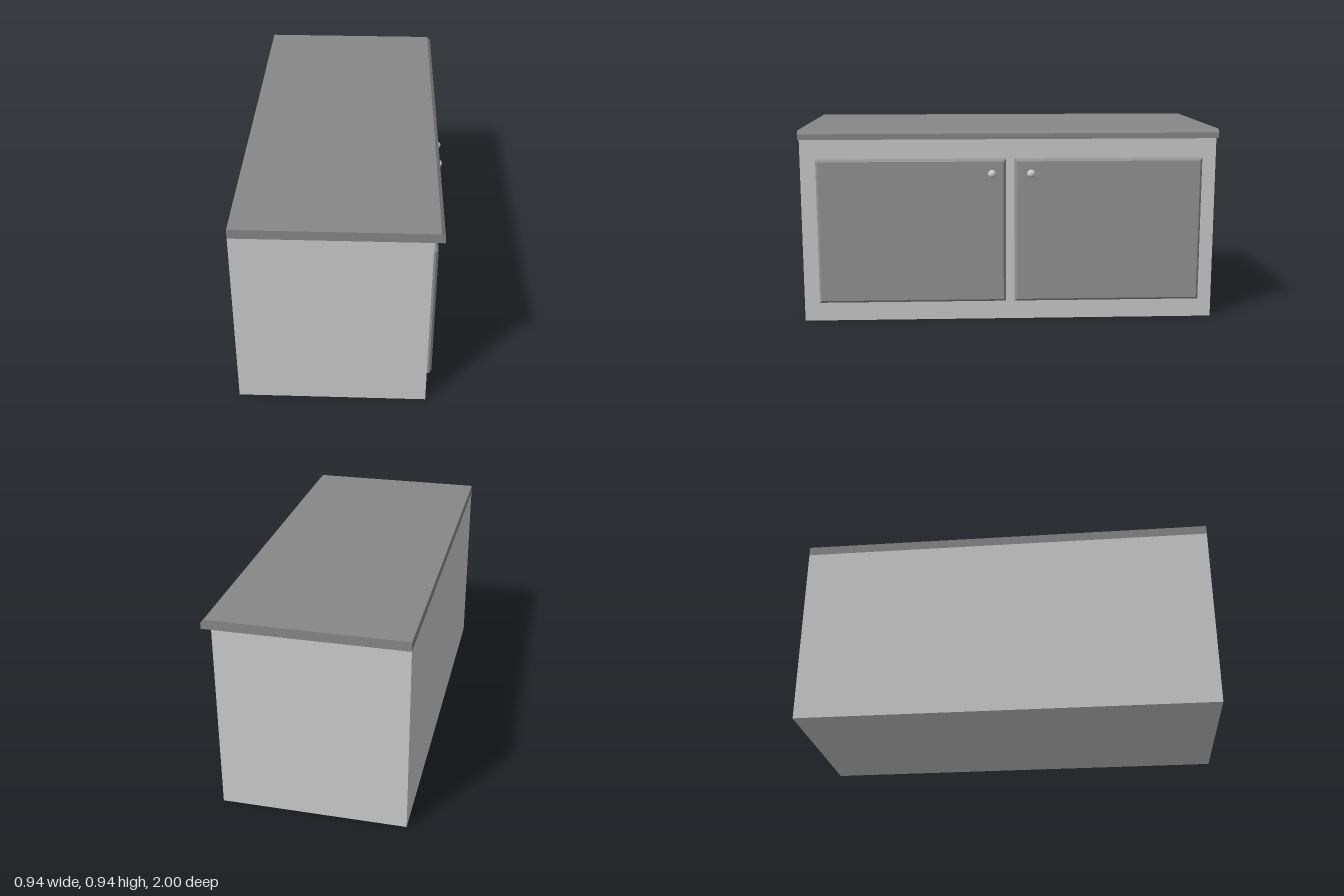
import * as THREE from 'three';

const paint = (color) => new THREE.MeshStandardMaterial({ color });

function part(name, geometry, material, x = 0, y = 0, z = 0) {
  const mesh = new THREE.Mesh(geometry, material);
  mesh.name = name;
  mesh.position.set(x, y, z);
  return mesh;
}

// Slab facing +x: square-edged at the back, with all four front edges chamfered.
function chamferedPanel(depth, height, width, chamferDepth, inset) {
  const geometry = new THREE.BoxGeometry(depth, height, width, 2, 1, 1);
  const p = geometry.attributes.position;
  for (let i = 0; i < p.count; i++) {
    const x = p.getX(i);
    if (Math.abs(x) < 1e-6) p.setX(i, depth / 2 - chamferDepth);
    else if (x > 0) {
      p.setY(i, p.getY(i) - Math.sign(p.getY(i)) * inset);
      p.setZ(i, p.getZ(i) - Math.sign(p.getZ(i)) * inset);
    }
  }
  const flat = geometry.toNonIndexed();
  flat.computeVertexNormals();
  return flat;
}

export function createModel() {
  const model = new THREE.Group();
  model.name = 'cabinet';

  const bodyPaint = paint(0xcccccc);
  const topPaint = paint(0x878787);
  const doorPaint = paint(0x949494);

  const back = -0.473, face = 0.392, underside = 0.893;

  // Carcass
  model.add(part('body', new THREE.BoxGeometry(face - back, underside, 2), bodyPaint,
    (back + face) / 2, underside / 2, 0));

  // Worktop with a chamfered overhanging edge, extruded along z
  const profile = new THREE.Shape([
    [back, underside], [0.439, underside], [0.439, 0.92], [0.422, 0.937], [back, 0.937],
  ].map(([x, y]) => new THREE.Vector2(x, y)));
  const topGeometry = new THREE.ExtrudeGeometry(profile, { depth: 2, bevelEnabled: false });
  model.add(part('worktop', topGeometry, topPaint, 0, 0, -1));

  // Two doors, each with a round knob near its inner top corner
  const doorDepth = 0.027, bottom = 0.094, top = 0.795;
  const doors = [
    { side: 'left', z0: -0.931, z1: -0.025, knobZ: -0.101 },
    { side: 'right', z0: 0.018, z1: 0.924, knobZ: 0.085 },
  ];
  const stemGeometry = new THREE.CylinderGeometry(0.005, 0.005, 0.03, 16).rotateZ(-Math.PI / 2);
  const ballGeometry = new THREE.SphereGeometry(0.02, 24, 16);
  for (const { side, z0, z1, knobZ } of doors) {
    const door = new THREE.Group();
    door.name = `${side}Door`;
    door.add(part('doorPanel', chamferedPanel(doorDepth, top - bottom, z1 - z0, 0.011, 0.011),
      doorPaint, face + doorDepth / 2, (top + bottom) / 2, (z0 + z1) / 2));
    door.add(part('knobStem', stemGeometry, bodyPaint, 0.431, 0.728, knobZ));
    door.add(part('knob', ballGeometry, bodyPaint, 0.452, 0.728, knobZ));
    model.add(door);
  }

  return model;
}
